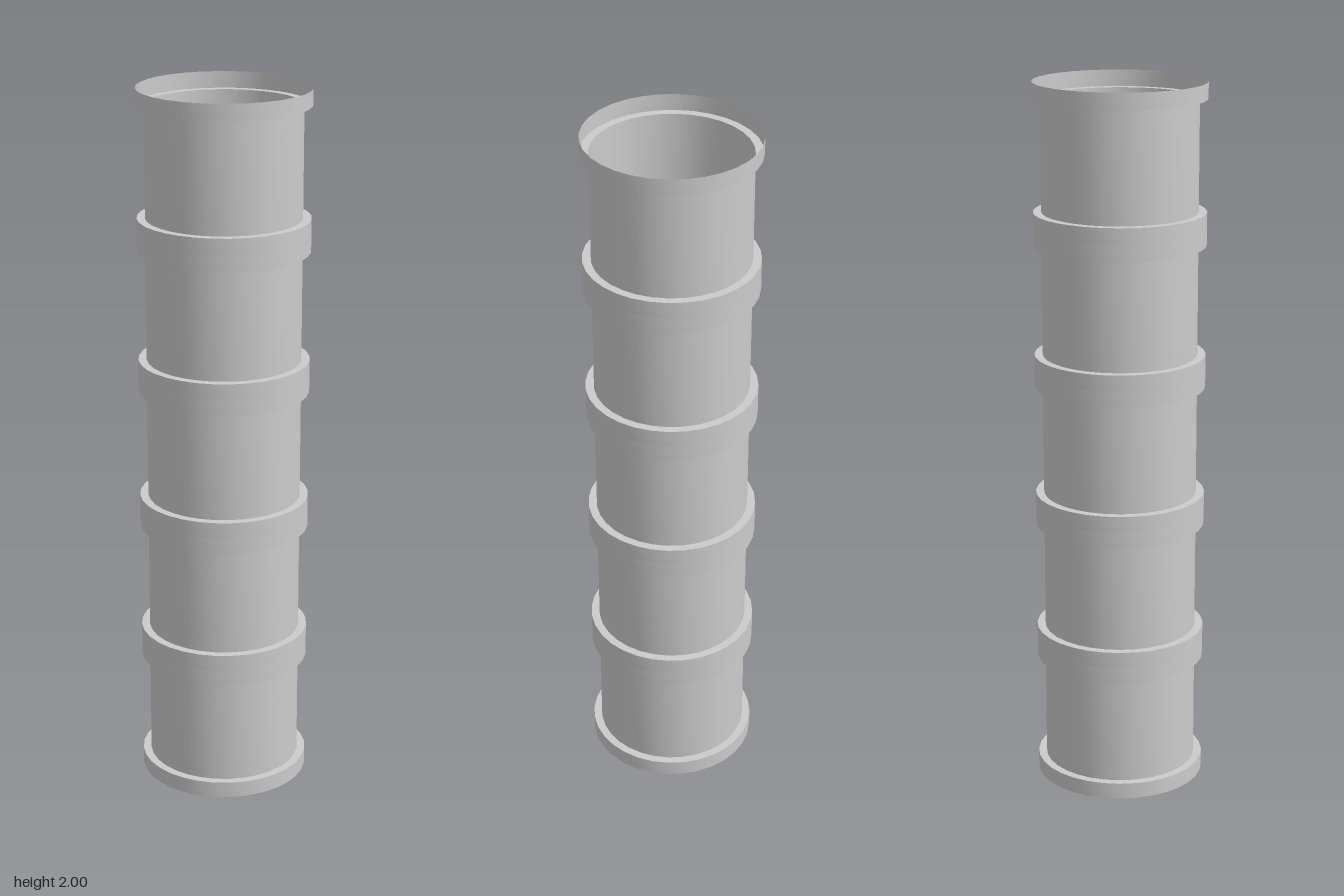
import * as THREE from 'three';
import { toCreasedNormals } from 'three/addons/utils/BufferGeometryUtils.js';

const SECTIONS = 5;        // equal pipe sections, joined at the collars
const PITCH = 2 / SECTIONS;
const HALF_COLLAR = 0.046; // half the height of a collar
const R_PIPE = 0.215;
const R_COLLAR = 0.238;
const SIDES = 32;

// One thin-walled section: half collar, step in, pipe wall, step out, half collar
function sectionGeometry() {
  const profile = [
    [R_COLLAR, 0],
    [R_COLLAR, HALF_COLLAR],
    [R_PIPE, HALF_COLLAR],
    [R_PIPE, PITCH - HALF_COLLAR],
    [R_COLLAR, PITCH - HALF_COLLAR],
    [R_COLLAR, PITCH],
  ].map(([r, y]) => new THREE.Vector2(r, y));
  // Smooth around the pipe, sharp at the steps
  return toCreasedNormals(new THREE.LatheGeometry(profile, SIDES), 0.6);
}

export function createModel() {
  const group = new THREE.Group();
  group.name = 'collaredPipe';
  const material = new THREE.MeshStandardMaterial({ color: 0xcccccc, side: THREE.DoubleSide });
  const geometry = sectionGeometry();

  // Sections stacked from the ground up, open at both ends
  for (let i = 0; i < SECTIONS; i++) {
    const section = new THREE.Mesh(geometry, material);
    section.name = `pipeSection${i + 1}`;
    section.position.y = i * PITCH;
    group.add(section);
  }
  return group;
}
